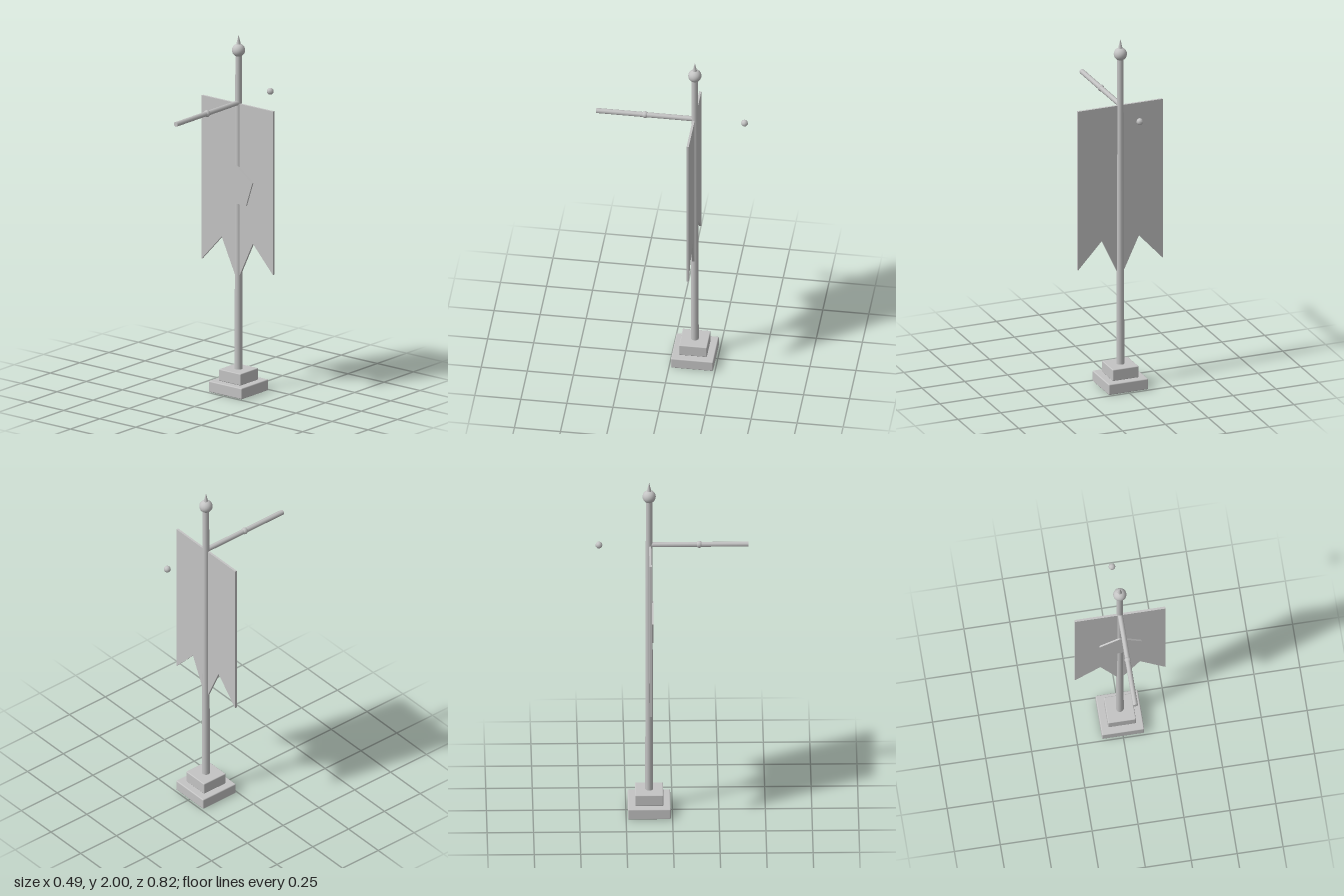
import * as THREE from 'three';
import { RoundedBoxGeometry } from 'three/addons/geometries/RoundedBoxGeometry.js';

export function createModel() {
  const root = new THREE.Group();
  root.name = 'bannerStand';
  const grey = new THREE.MeshStandardMaterial({ color: 0xc4c4c4 });
  grey.name = 'stone grey';
  const poleZ = -0.125;
  const barY = 1.62;

  const add = (name, geometry, x, y, z) => {
    const mesh = new THREE.Mesh(geometry, grey);
    mesh.name = name;
    mesh.position.set(x, y, z);
    root.add(mesh);
    return mesh;
  };

  // Flat plate cut from an outline in the x-y plane, starting at z = 0
  const plate = (points, depth) => new THREE.ExtrudeGeometry(
    new THREE.Shape(points.map(([x, y]) => new THREE.Vector2(x, y))),
    { depth, bevelEnabled: false });

  // Two-step plinth
  add('lowerBase', new RoundedBoxGeometry(0.23, 0.062, 0.23, 2, 0.006), 0, 0.031, poleZ);
  add('upperBase', new RoundedBoxGeometry(0.152, 0.066, 0.152, 2, 0.005), 0, 0.094, poleZ);

  // Tapered pole with ball and spike
  add('pole', new THREE.CylinderGeometry(0.0175, 0.0215, 1.78, 16), 0, 1.01, poleZ);
  add('finialBall', new THREE.SphereGeometry(0.036, 20, 14), 0, 1.914, poleZ);
  add('finialSpike', new THREE.ConeGeometry(0.014, 0.06, 8), 0, 1.97, poleZ);

  // Bar pointing forward from the pole, with its two knobs
  const bar = add('bar', new THREE.CylinderGeometry(0.014, 0.014, 0.535, 8), 0, barY, 0.1425);
  bar.rotation.x = Math.PI / 2;
  for (const side of [-1, 1]) {
    add(side > 0 ? 'frontKnob' : 'rearKnob',
      new THREE.SphereGeometry(0.019, 8, 6), 0, barY, poleZ + side * 0.27);
  }

  // Cloth with three pointed tails
  add('banner', plate([
    [-0.247, 1.617], [-0.247, 0.7], [-0.108, 0.85], [0, 0.62],
    [0.108, 0.85], [0.247, 0.7], [0.247, 1.617],
  ], 0.012), 0, 0, -0.126);

  // Pentagon badge standing just proud of the pole
  const corners = [];
  for (let i = 0; i < 5; i++) {
    const a = Math.PI / 2 + i * Math.PI * 2 / 5;
    corners.push([0.12 * Math.cos(a), 0.12 * Math.sin(a)]);
  }
  add('badge', plate(corners, 0.009), 0, 1.155, -0.111);

  return root;
}
